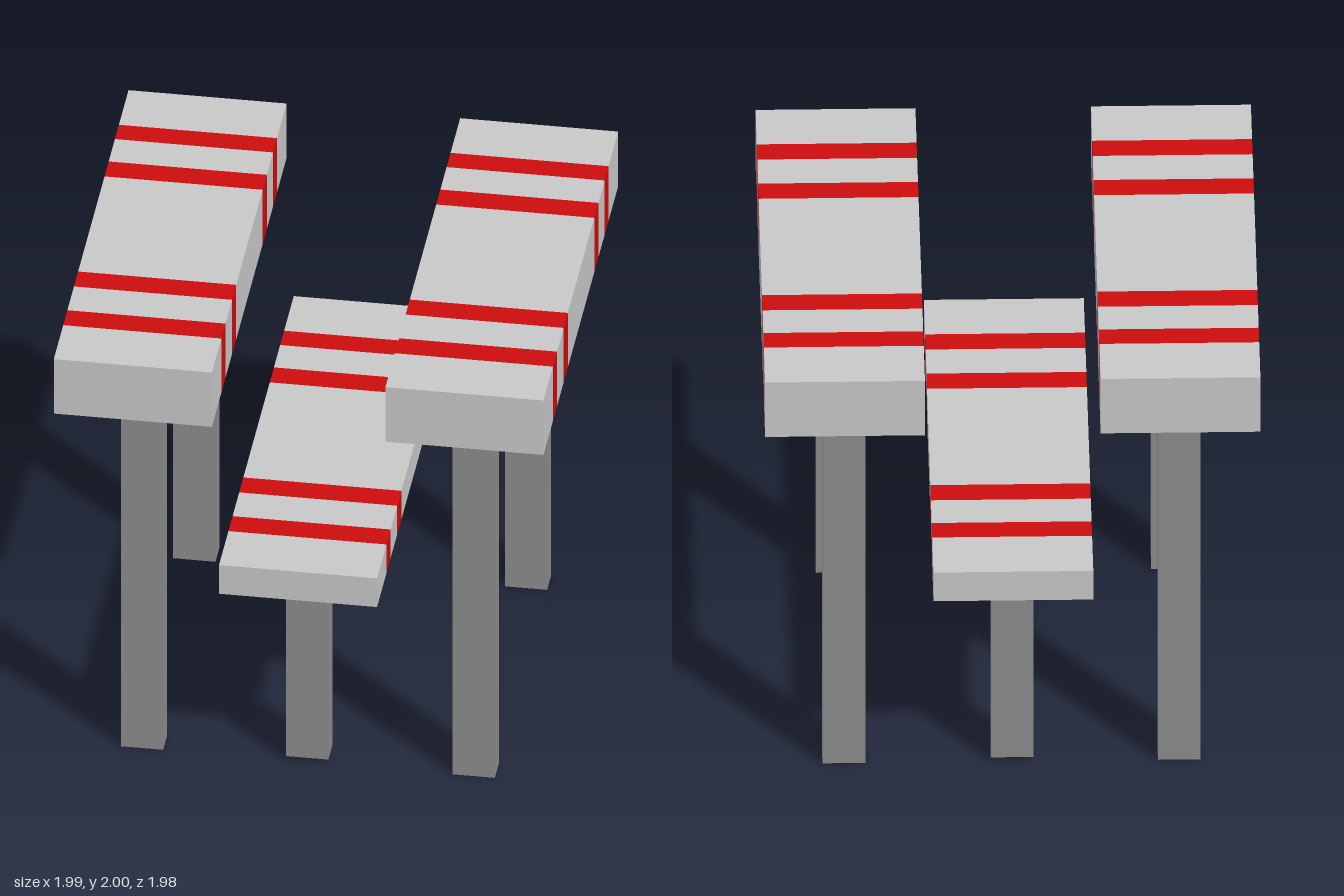
import * as THREE from 'three';

const paleGrey = new THREE.MeshStandardMaterial({ color: 0xc8c8c8 });
paleGrey.name = 'pale grey';
const legGrey = new THREE.MeshStandardMaterial({ color: 0x8c8c8c });
legGrey.name = 'leg grey';
const red = new THREE.MeshStandardMaterial({ color: 0xcc0c0c });
red.name = 'stripe red';

// Plank boundaries along z; every second section is a red stripe
const cuts = [-0.99, -0.735, -0.63, -0.465, -0.355, 0.345, 0.455, 0.63, 0.74, 0.99];

function box(name, w, h, d, x, y, z, material) {
  const mesh = new THREE.Mesh(new THREE.BoxGeometry(w, h, d), material);
  mesh.name = name;
  mesh.position.set(x, y, z);
  return mesh;
}

// Box split along z, with a material group for each quad
function plank(name, width, bottom, top, x) {
  const n = cuts.length - 1;
  const geo = new THREE.BoxGeometry(width, top - bottom, n, 1, 1, n);
  const pos = geo.attributes.position;
  const index = geo.index;
  geo.clearGroups();
  for (let i = 0; i < index.count; i += 6) {
    let lo = Infinity;
    let hi = -Infinity;
    for (let k = 0; k < 6; k++) {
      const z = pos.getZ(index.getX(i + k)) + n / 2;
      lo = Math.min(lo, z);
      hi = Math.max(hi, z);
    }
    const isStripe = hi - lo > 0.5 && Math.round(lo) % 2 === 1;
    geo.addGroup(i, 6, isStripe ? 1 : 0);
  }
  for (let i = 0; i < pos.count; i++) pos.setZ(i, cuts[Math.round(pos.getZ(i) + n / 2)]);
  const mesh = new THREE.Mesh(geo, [paleGrey, red]);
  mesh.name = name;
  mesh.position.set(x, (bottom + top) / 2, 0);
  return mesh;
}

// Striped plank on two square posts
function trestle(name, x, foot, bottom, top, hasMarks) {
  const group = new THREE.Group();
  group.name = name;
  group.add(plank('plank', 0.642, bottom, top, x));
  for (const [end, z] of [['front', 0.692], ['back', -0.692]]) {
    group.add(box(end + 'Leg', 0.172, bottom - foot, 0.106, x, (foot + bottom) / 2, z, legGrey));
    // Red marks on both sides of the leg, under the plank
    if (hasMarks) {
      for (const s of [-1, 1]) {
        group.add(box(end + 'LegMark', 0.004, 0.05, 0.106, x + s * 0.088, bottom - 0.025, z, red));
      }
    }
  }
  return group;
}

export function createModel() {
  const model = new THREE.Group();
  model.name = 'stripedTrestles';
  model.add(
    trestle('rightTrestle', -0.675, 0, 1.738, 2, true),
    trestle('lowTrestle', -0.004, 0.02, 0.938, 1.076, false),
    trestle('leftTrestle', 0.672, 0, 1.738, 2, true)
  );
  return model;
}
